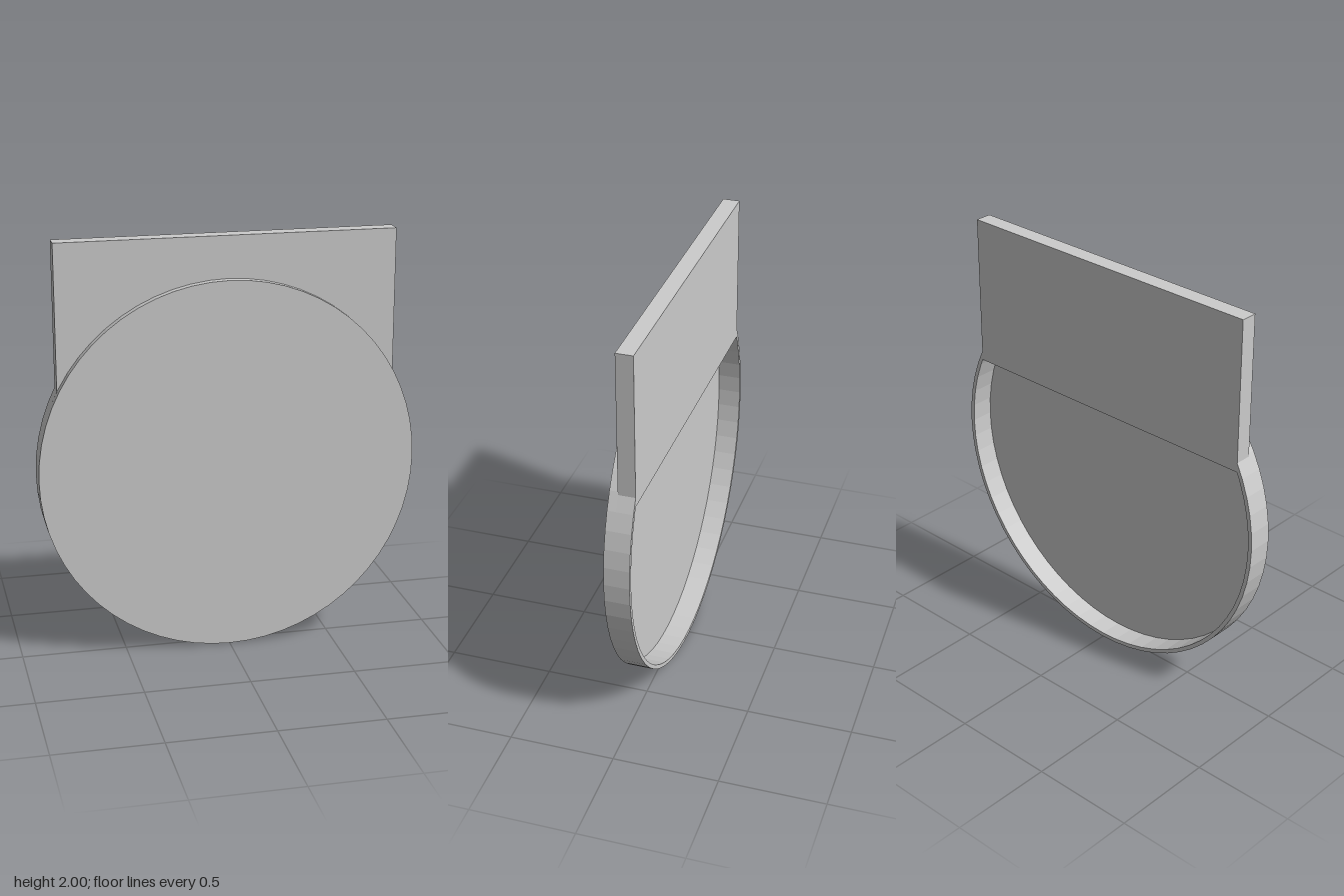
import * as THREE from 'three';

const R = 0.9, INNER = 0.88, HALF = 0.8, CY = 0.9;
const BACK = -0.06, MID = 0.02, FLOOR = 0.05, FRONT = 0.06;
const STEP = Math.PI * 2 / 64;

// Point on a circle around the disc centre
const onCircle = (r, a) => new THREE.Vector2(r * Math.cos(a), CY + r * Math.sin(a));
const fullCircle = r => Array.from({ length: 64 }, (_, i) => onCircle(r, i * STEP));

// Arc points running clockwise under the disc, from the right-hand end a0 down to its mirror
function lowerArc(r, a0) {
  const pts = [onCircle(r, a0)];
  for (let k = Math.ceil(a0 / STEP) - 1; k * STEP > -Math.PI - a0; k--) pts.push(onCircle(r, k * STEP));
  pts.push(onCircle(r, -Math.PI - a0));
  return pts;
}

function slab(name, shape, z0, z1, material) {
  const geo = new THREE.ExtrudeGeometry(shape, { depth: z1 - z0, bevelEnabled: false });
  geo.translate(0, 0, z0);
  const mesh = new THREE.Mesh(geo, material);
  mesh.name = name;
  return mesh;
}

export function createModel() {
  const group = new THREE.Group();
  group.name = 'discWithBackPlate';
  const grey = new THREE.MeshStandardMaterial({ color: 0xcccccc, flatShading: true });

  // Thin round front face
  group.add(slab('frontDisc', new THREE.Shape(fullCircle(R)), FLOOR, FRONT, grey));

  // Full ring between the front face and the plate, leaving a shallow hollow
  const ring = new THREE.Shape(fullCircle(R));
  ring.holes.push(new THREE.Path(fullCircle(INNER)));
  group.add(slab('frontRing', ring, MID, FLOOR, grey));

  // Rear rim, ending at the sides of the plate
  const outer = lowerArc(R, Math.acos(HALF / R));
  const inner = lowerArc(INNER, Math.acos(HALF / INNER));
  group.add(slab('rearRim', new THREE.Shape([...outer, ...inner.reverse()]), BACK, MID, grey));

  // Rectangular plate behind the top of the disc
  const bottom = CY + Math.sqrt(INNER * INNER - HALF * HALF);
  const plate = [[-HALF, bottom], [HALF, bottom], [HALF, 2], [-HALF, 2]].map(p => new THREE.Vector2(...p));
  group.add(slab('backPlate', new THREE.Shape(plate), BACK, MID, grey));

  return group;
}
